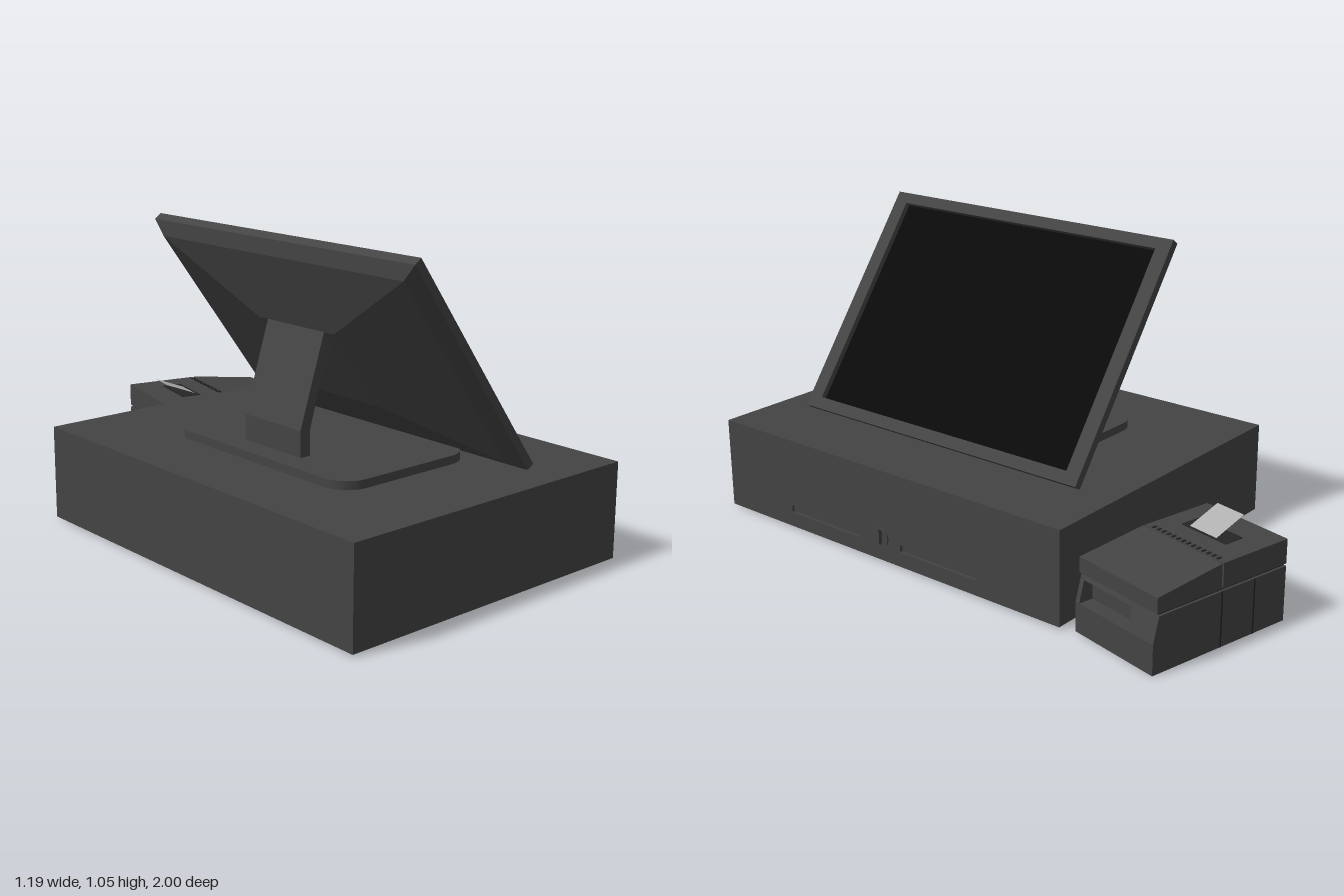
import * as THREE from 'three';

const mat = (color, extra = {}) => new THREE.MeshStandardMaterial({ color, ...extra });
const body = mat(0x444444, { flatShading: true });
const dark = mat(0x262626);
const black = mat(0x0a0a0a);
const paperMat = mat(0xb0b0b0, { side: THREE.DoubleSide });

function add(parent, name, geometry, material = body) {
  const mesh = new THREE.Mesh(geometry, material);
  mesh.name = name;
  parent.add(mesh);
  return mesh;
}

// Box given by its two extreme corners
function box(parent, name, [x0, y0, z0], [x1, y1, z1], material) {
  const g = new THREE.BoxGeometry(x1 - x0, y1 - y0, z1 - z0);
  g.translate((x0 + x1) / 2, (y0 + y1) / 2, (z0 + z1) / 2);
  return add(parent, name, g, material);
}

// Side profile in x, y swept from z0 to z1
function prism(parent, name, points, z0, z1, material) {
  const shape = new THREE.Shape(points.map(p => new THREE.Vector2(...p)));
  const g = new THREE.ExtrudeGeometry(shape, { depth: z1 - z0, bevelEnabled: false });
  return add(parent, name, g.translate(0, 0, z0), material);
}

function rect(x0, y0, x1, y1, r = 0, Type = THREE.Shape) {
  const s = new Type();
  if (!r) {
    s.moveTo(x0, y0).lineTo(x1, y0).lineTo(x1, y1).lineTo(x0, y1).closePath();
    return s;
  }
  s.absarc(x1 - r, y0 + r, r, -Math.PI / 2, 0);
  s.absarc(x1 - r, y1 - r, r, 0, Math.PI / 2);
  s.absarc(x0 + r, y1 - r, r, Math.PI / 2, Math.PI);
  s.absarc(x0 + r, y0 + r, r, Math.PI, Math.PI * 1.5);
  s.closePath();
  return s;
}

// Panel facing +x, drawn in (-z, y), its back at x = x0
function panel(parent, name, shape, x0, depth, material) {
  const g = new THREE.ExtrudeGeometry(shape, { depth, bevelEnabled: false, curveSegments: 8 });
  return add(parent, name, g.rotateY(Math.PI / 2).translate(x0, 0, 0), material);
}

// Rectangular rings { x, lo, hi, half } joined towards -x and closed at the end
function loft(rings) {
  const corners = rings.map(({ x, lo, hi, half }) =>
    [[x, lo, -half], [x, lo, half], [x, hi, half], [x, hi, -half]]);
  const pos = [];
  const quad = (a, b, c, d) => pos.push(...a, ...b, ...c, ...a, ...c, ...d);
  for (let r = 0; r + 1 < corners.length; r++) {
    const A = corners[r], B = corners[r + 1];
    for (let i = 0; i < 4; i++) {
      const j = (i + 1) % 4;
      quad(A[i], A[j], B[j], B[i]);
    }
  }
  quad(...corners[corners.length - 1]);
  const g = new THREE.BufferGeometry();
  g.setAttribute('position', new THREE.Float32BufferAttribute(pos, 3));
  g.computeVertexNormals();
  return g;
}

function createDrawer() {
  const g = new THREE.Group();
  g.name = 'cashDrawer';
  box(g, 'drawerCase', [-0.6, 0.007, -0.5], [0.53, 0.33, 1]);
  // Front panel with two slip slots
  const front = rect(-1, 0.007, 0.5, 0.33);
  for (const z of [0.52, 0]) front.holes.push(rect(-z - 0.165, 0.06, -z + 0.165, 0.086, 0.005, THREE.Path));
  panel(g, 'drawerFront', front, 0.53, 0.01);
  // Lock with key slit
  const ring = new THREE.CylinderGeometry(0.032, 0.032, 0.008, 24).rotateZ(Math.PI / 2);
  add(g, 'lock', ring, mat(0x444444)).position.set(0.541, 0.092, 0.25);
  box(g, 'keySlit', [0.54, 0.066, 0.245], [0.547, 0.118, 0.255], dark);
  return g;
}

function createStand() {
  const g = new THREE.Group();
  g.name = 'stand';
  const plate = new THREE.ExtrudeGeometry(rect(-0.34, -0.68, 0.21, 0.16, 0.09),
    { depth: 0.028, bevelEnabled: false, curveSegments: 10 });
  add(g, 'basePlate', plate.rotateX(-Math.PI / 2).translate(0, 0.33, 0));
  prism(g, 'standArm', [[-0.22, 0.35], [-0.22, 0.445], [-0.175, 0.6], [-0.13, 0.7],
    [-0.11, 0.735], [-0.14, 0.76], [-0.165, 0.745], [-0.26, 0.445], [-0.26, 0.35]], 0.122, 0.392);
  return g;
}

// Screen: local y runs up the tilted face, local x is its normal
function createScreen() {
  const g = new THREE.Group();
  g.name = 'touchScreen';
  const frame = rect(-0.615, 0, 0.615, 0.87);
  frame.holes.push(rect(-0.56, 0.042, 0.56, 0.83, 0, THREE.Path));
  panel(g, 'bezel', frame, -0.029, 0.029);
  box(g, 'display', [-0.029, 0.04, -0.562], [-0.02, 0.832, 0.562], black);
  add(g, 'backCover', loft([
    { x: -0.029, lo: 0, hi: 0.87, half: 0.615 },
    { x: -0.06, lo: 0.053, hi: 0.827, half: 0.57 },
    { x: -0.12, lo: 0.261, hi: 0.586, half: 0.18 },
  ]));
  g.position.set(0.28, 0.345, 0.257);
  g.rotation.z = 0.635;
  return g;
}

// Receipt printer: local x runs towards its front
function createPrinter() {
  const g = new THREE.Group();
  g.name = 'receiptPrinter';
  const w = 0.172;
  const back = [[-0.272, 0.185], [-0.272, 0]];
  const solid = [...back, [0.272, 0], [0.272, 0.1], [0.25, 0.185]];
  const notched = [...back, [0.272, 0], [0.272, 0.1], [0.22, 0.1], [0.22, 0.172], [0.254, 0.172], [0.25, 0.185]];
  // Lower body with an open slot in the front
  prism(g, 'lowerBody', solid, -w, -0.06);
  prism(g, 'slotBody', notched, -0.06, 0.155);
  prism(g, 'lowerBodyEdge', solid, 0.155, w);
  // Shadow gaps between body, lid and rear cover
  box(g, 'seamCore', [-0.264, 0.18, -w + 0.008], [0.245, 0.2, w - 0.008], dark);
  box(g, 'coverSeamCore', [-0.02, 0.19, -w + 0.006], [0.02, 0.268, w - 0.006], dark);
  prism(g, 'rearCover', [[-0.272, 0.193], [-0.003, 0.193], [-0.003, 0.275], [-0.272, 0.275]], -w, w);
  prism(g, 'frontLid', [[0.003, 0.193], [0.258, 0.193], [0.258, 0.245], [0.003, 0.275]], -w, w);
  for (const s of [-1, 1]) {
    for (const x of [-0.136, 0]) {
      box(g, 'sideSeam', [x - 0.003, 0, s * w - 0.001], [x + 0.003, 0.185, s * w + 0.001], dark);
    }
  }
  // Ridged tear bar along the cover seam
  for (let i = 0; i < 14; i++) {
    const z = -0.14 + i * 0.0215;
    box(g, 'tearBarTooth', [-0.022, 0.274, z - 0.004], [-0.006, 0.278, z + 0.004], dark);
  }
  // Paper outlet and paper
  box(g, 'paperOutlet', [-0.17, 0.27, -0.085], [-0.095, 0.2765, 0.105], dark);
  const sheet = new THREE.PlaneGeometry(0.13, 0.115).rotateX(-Math.PI / 2);
  const paper = add(g, 'paper', sheet, paperMat);
  paper.position.set(-0.16, 0.298, 0.02);
  paper.rotation.z = -0.37;
  g.position.set(0.29, 0, -0.772);
  g.rotation.y = -0.223;
  return g;
}

export function createModel() {
  const model = new THREE.Group();
  model.name = 'pointOfSaleStation';
  model.add(createDrawer(), createStand(), createScreen(), createPrinter());
  return model;
}
